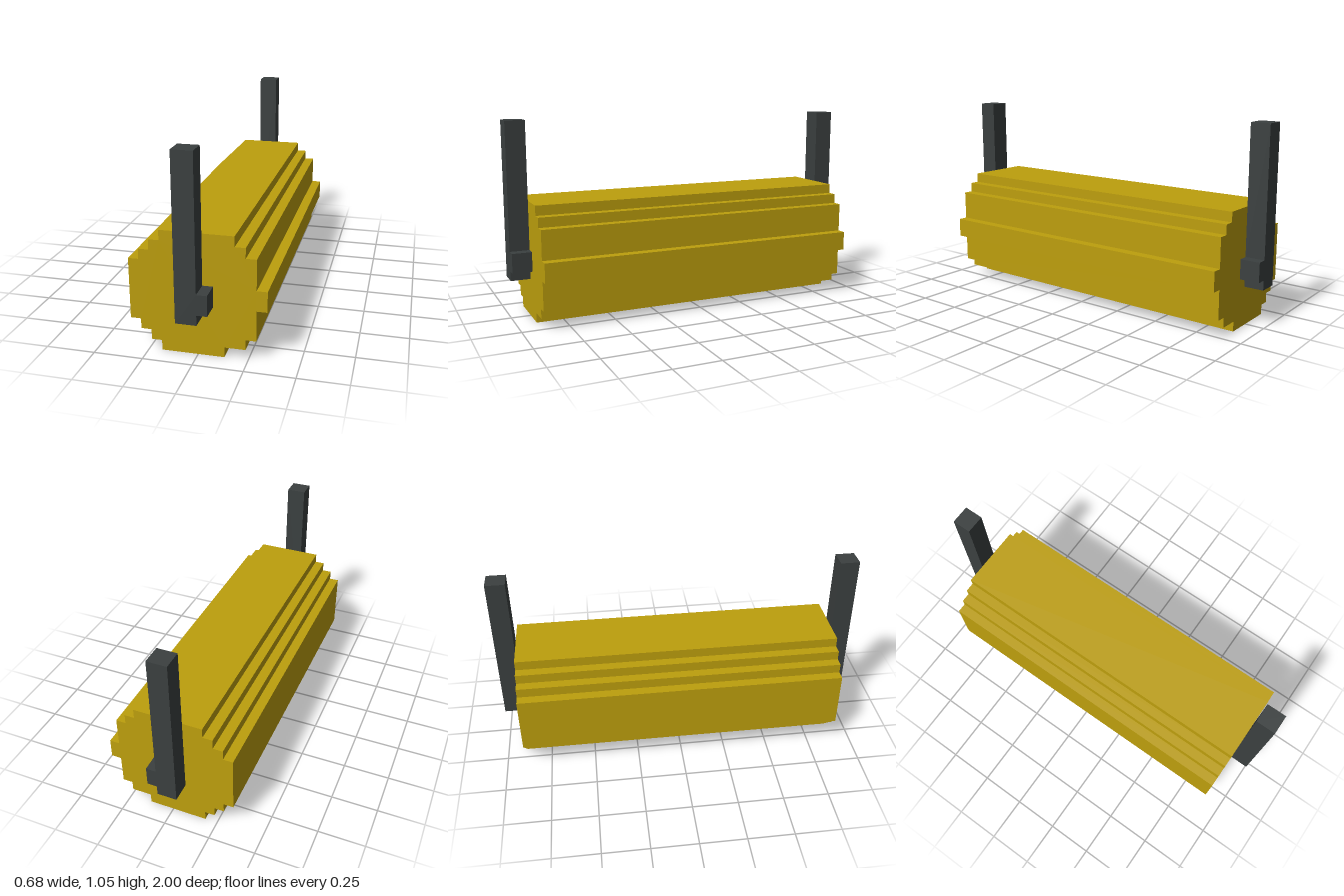
import * as THREE from 'three';

const U = 2 / 38; // one grid step of the stepped outline

export function createModel() {
  const yellow = new THREE.MeshStandardMaterial({ color: 0xbd9f0d });
  yellow.name = 'mustardYellow';
  const dark = new THREE.MeshStandardMaterial({ color: 0x3b4040 });
  dark.name = 'darkGrey';

  const model = new THREE.Group();
  model.name = 'hangingRoller';

  // Extrudes an outline given in grid steps from z0 to z1
  function addPrism(name, points, z0, z1, material) {
    const shape = new THREE.Shape(points.map(([x, y]) => new THREE.Vector2(x * U, y * U)));
    const geometry = new THREE.ExtrudeGeometry(shape, { depth: (z1 - z0) * U, bevelEnabled: false });
    geometry.translate(0, 0, z0 * U);
    const mesh = new THREE.Mesh(geometry, material);
    mesh.name = name;
    model.add(mesh);
  }

  // Stepped roller outline, counter-clockwise from the bottom left
  const rollerOutline = [
    [-3.5, 0], [2.5, 0], [2.5, 1], [4.5, 1], [4.5, 2], [5.5, 2],
    [5.5, 5], [6.5, 5], [6.5, 7], [5.5, 7],
    [5.5, 10], [4.5, 10], [4.5, 11], [3.5, 11], [3.5, 12],
    [-3.5, 12], [-3.5, 11], [-4.5, 11], [-4.5, 10], [-5.5, 10], [-5.5, 9],
    [-6.5, 9], [-6.5, 3], [-5.5, 3], [-5.5, 2], [-4.5, 2], [-4.5, 1], [-3.5, 1],
  ];
  addPrism('roller', rollerOutline, -17, 17, yellow);

  // Upright hanger with a short axle stub on one side, at each end
  const hangerOutline = [
    [-1.5, 4], [0.5, 4], [0.5, 5], [1.5, 5], [1.5, 7], [0.5, 7], [0.5, 20], [-1.5, 20],
  ];
  addPrism('frontHanger', hangerOutline, 17, 19, dark);
  addPrism('backHanger', hangerOutline, -19, -17, dark);

  return model;
}
